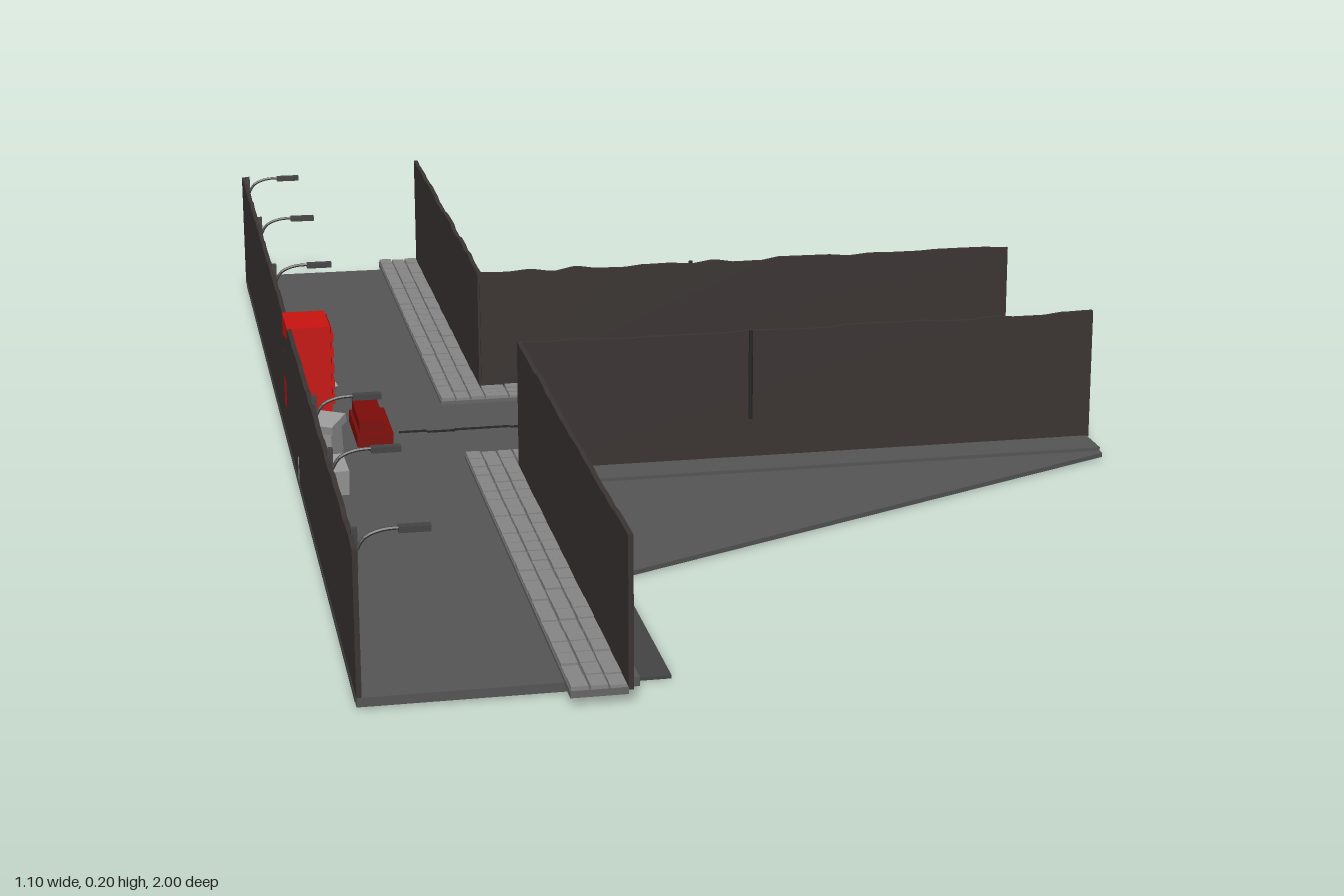
import * as THREE from 'three';
import { mergeGeometries } from 'three/addons/utils/BufferGeometryUtils.js';

const material = (color) => new THREE.MeshStandardMaterial({ color, flatShading: true, side: THREE.DoubleSide });
const mats = {
  road: material(0x555555), under: material(0x444444), wall: material(0x3a3432), paving: material(0x858585),
  kerb: material(0x666666), dark: material(0x262626), red: material(0xc81410), darkRed: material(0x7c0c0a),
  junk: material(0x999999), metal: material(0x444444),
};

let seed = 7;
const rand = () => (seed = (seed * 16807) % 2147483647) / 2147483647;

function add(parent, name, geometry, mat) {
  const mesh = new THREE.Mesh(geometry, mat);
  mesh.name = name;
  parent.add(mesh);
  return mesh;
}

// Box given by its min and max corners
function span(x0, x1, y0, y1, z0, z1) {
  return new THREE.BoxGeometry(x1 - x0, y1 - y0, z1 - z0)
    .translate((x0 + x1) / 2, (y0 + y1) / 2, (z0 + z1) / 2);
}

// Flat slab from an outline of [x, z] points
function slab(outline, y0, y1) {
  const shape = new THREE.Shape(outline.map(([x, z]) => new THREE.Vector2(x, -z)));
  return new THREE.ExtrudeGeometry(shape, { depth: y1 - y0, bevelEnabled: false })
    .rotateX(-Math.PI / 2).translate(0, y0, 0);
}

// Thin upright wall with a worn, uneven top edge
function wall(x0, z0, x1, z1, bottom, top) {
  const length = Math.hypot(x1 - x0, z1 - z0);
  const steps = Math.round(length / 0.035);
  const shape = new THREE.Shape().moveTo(0, bottom).lineTo(length, bottom);
  for (let i = steps; i >= 0; i--) {
    const h = top - rand() * 0.005;
    shape.lineTo((i + 0.3) / (steps + 0.3) * length, h);
    shape.lineTo(i / (steps + 0.3) * length, h);
  }
  return new THREE.ExtrudeGeometry(shape, { depth: 0.006, bevelEnabled: false })
    .translate(0, 0, -0.003)
    .rotateY(-Math.atan2(z1 - z0, x1 - x0)).translate(x0, 0, z0);
}

// Pavement strip: a bed carrying rows of separate paving stones
function pavement(parent, name, x0, x1, z0, z1) {
  const group = new THREE.Group();
  group.name = name;
  add(group, 'pavementBed', span(x0, x1, 0.01, 0.018, z0, z1), mats.kerb);
  const alongX = x1 - x0 > z1 - z0;
  const nx = alongX ? Math.round((x1 - x0) / 0.035) : 3;
  const nz = alongX ? 3 : Math.round((z1 - z0) / 0.035);
  const dx = (x1 - x0) / nx, dz = (z1 - z0) / nz, gap = 0.0013;
  const stones = [];
  for (let i = 0; i < nx; i++) {
    for (let j = 0; j < nz; j++) {
      stones.push(span(x0 + i * dx + gap, x0 + (i + 1) * dx - gap, 0.016, 0.021 + rand() * 0.002,
        z0 + j * dz + gap, z0 + (j + 1) * dz - gap));
    }
  }
  add(group, 'pavingStones', mergeGeometries(stones), mats.paving);
  parent.add(group);
}

// Wall lamp: bracket, arm and flat head reaching over the street
function lamp(z) {
  const group = new THREE.Group();
  group.name = 'streetLamp';
  const path = new THREE.CatmullRomCurve3([[-0.548, 0.165], [-0.538, 0.182], [-0.52, 0.19], [-0.49, 0.192]]
    .map(([x, y]) => new THREE.Vector3(x, y, z)));
  add(group, 'lampArm', new THREE.TubeGeometry(path, 10, 0.0022, 6), mats.metal);
  add(group, 'lampHead', span(-0.5, -0.464, 0.187, 0.194, z - 0.006, z + 0.006), mats.metal);
  add(group, 'lampBracket', span(-0.552, -0.545, 0.145, 0.195, z - 0.004, z + 0.004), mats.metal);
  return group;
}

export function createModel() {
  const model = new THREE.Group();
  model.name = 'streetJunction';

  // Ground: base plate with the wedge of waste land, road surface above
  add(model, 'basePlate', slab([[-0.555, -0.965], [-0.24, -0.965], [-0.24, -0.262], [0.545, -0.262],
    [0.545, 0.26], [-0.24, 0.632], [-0.24, 0.96], [-0.555, 0.96]], 0.002, 0.008), mats.road);
  add(model, 'mainRoad', span(-0.555, -0.24, 0.006, 0.013, -0.965, 0.96), mats.road);
  add(model, 'sideRoad', span(-0.24, 0.545, 0.006, 0.013, -0.262, 0.25), mats.road);
  add(model, 'roadUnderside', span(-0.555, -0.2, 0, 0.004, -0.94, 0.94), mats.under);

  // Worn drain line along the middle of the side road
  const drain = [];
  for (let i = 0; i < 24; i++) {
    const x = -0.4 + i * 0.0393, z = -0.008 + (rand() - 0.5) * 0.006;
    drain.push(span(x, x + 0.039, 0.012, 0.0145, z - 0.003, z + 0.003));
  }
  add(model, 'drainLine', mergeGeometries(drain), mats.dark);

  // Pavements along the inner walls
  pavement(model, 'backPavement', -0.325, -0.26, -1, -0.135);
  pavement(model, 'frontPavement', -0.325, -0.26, 0.125, 1);
  pavement(model, 'sideBackPavement', -0.26, 0.545, -0.195, -0.135);
  pavement(model, 'sideFrontPavement', -0.26, 0.545, 0.125, 0.187);

  // Walls
  add(model, 'streetWall', wall(-0.552, -0.965, -0.552, 0.96, 0.005, 0.188), mats.wall);
  add(model, 'backCornerWall', wall(-0.257, -1, -0.257, -0.2, 0.015, 0.195), mats.wall);
  add(model, 'frontCornerWall', wall(-0.257, 0.19, -0.257, 1, 0.015, 0.195), mats.wall);
  add(model, 'sideBackWall', wall(-0.257, -0.2, 0.548, -0.2, 0.012, 0.194), mats.wall);
  add(model, 'sideFrontWall', wall(-0.257, 0.19, 0.548, 0.19, 0.012, 0.194), mats.wall);

  // Drainpipes on the side walls
  for (const z of [-0.206, 0.196]) {
    add(model, 'drainpipe', new THREE.CylinderGeometry(0.003, 0.003, 0.125, 8).translate(0.06, 0.13, z), mats.dark);
  }

  // Lamps
  for (const z of [-0.915, -0.612, -0.3, 0.4, 0.624, 0.918]) model.add(lamp(z));

  // Red vending cabinet with shelves and a plinth
  const cabinet = new THREE.Group();
  cabinet.name = 'redCabinet';
  add(cabinet, 'cabinetBody', span(-0.555, -0.496, 0.055, 0.185, -0.055, 0.036), mats.red);
  add(cabinet, 'cabinetPlinth', span(-0.55, -0.5, 0.012, 0.056, -0.05, 0.031), mats.darkRed);
  for (let i = 0; i < 5; i++) {
    const y = 0.072 + i * 0.022;
    add(cabinet, 'cabinetShelf', span(-0.497, -0.491, y, y + 0.014, -0.046, 0.027), mats.red);
    add(cabinet, 'shelfGap', span(-0.497, -0.494, y + 0.014, y + 0.022, -0.046, 0.027), mats.darkRed);
  }
  model.add(cabinet);

  // Low red step in front of the cabinet
  add(model, 'redStep', span(-0.464, -0.414, 0.012, 0.032, -0.076, 0.048), mats.darkRed);
  add(model, 'redStepTop', span(-0.46, -0.425, 0.03, 0.048, -0.07, 0.042), mats.darkRed);

  // Discarded crates and panels: x, y, z, width, height, depth, turn, tilt
  const junk = [
    [-0.52, 0.038, 0.1, 0.055, 0.045, 0.03, -0.6, 0.1], [-0.515, 0.07, 0.105, 0.05, 0.012, 0.04, -0.6, 0.25],
    [-0.537, 0.04, 0.155, 0.03, 0.055, 0.04, 0.15, 0], [-0.53, 0.03, 0.19, 0.045, 0.035, 0.03, 0.3, 0],
    [-0.507, 0.032, 0.225, 0.022, 0.036, 0.06, 0.05, 0.1], [-0.54, 0.055, 0.175, 0.012, 0.07, 0.035, 0, 0.3],
    [-0.535, 0.045, -0.125, 0.025, 0.06, 0.04, 0.3, 0], [-0.515, 0.03, -0.155, 0.045, 0.03, 0.03, -0.4, 0.1],
    [-0.5, 0.045, -0.195, 0.045, 0.012, 0.05, 0.5, 0.6], [-0.53, 0.055, -0.18, 0.012, 0.075, 0.05, 0.2, -0.3],
    [-0.53, 0.03, -0.225, 0.035, 0.03, 0.045, -0.3, 0], [-0.535, 0.06, -0.245, 0.02, 0.012, 0.04, 0.4, 0.4],
  ];
  for (const [x, y, z, w, h, d, turn, tilt] of junk) {
    const crate = add(model, 'discardedCrate', new THREE.BoxGeometry(w, h, d), mats.junk);
    crate.position.set(x, y, z);
    crate.rotation.set(tilt, turn, 0, 'YXZ');
  }
  return model;
}
